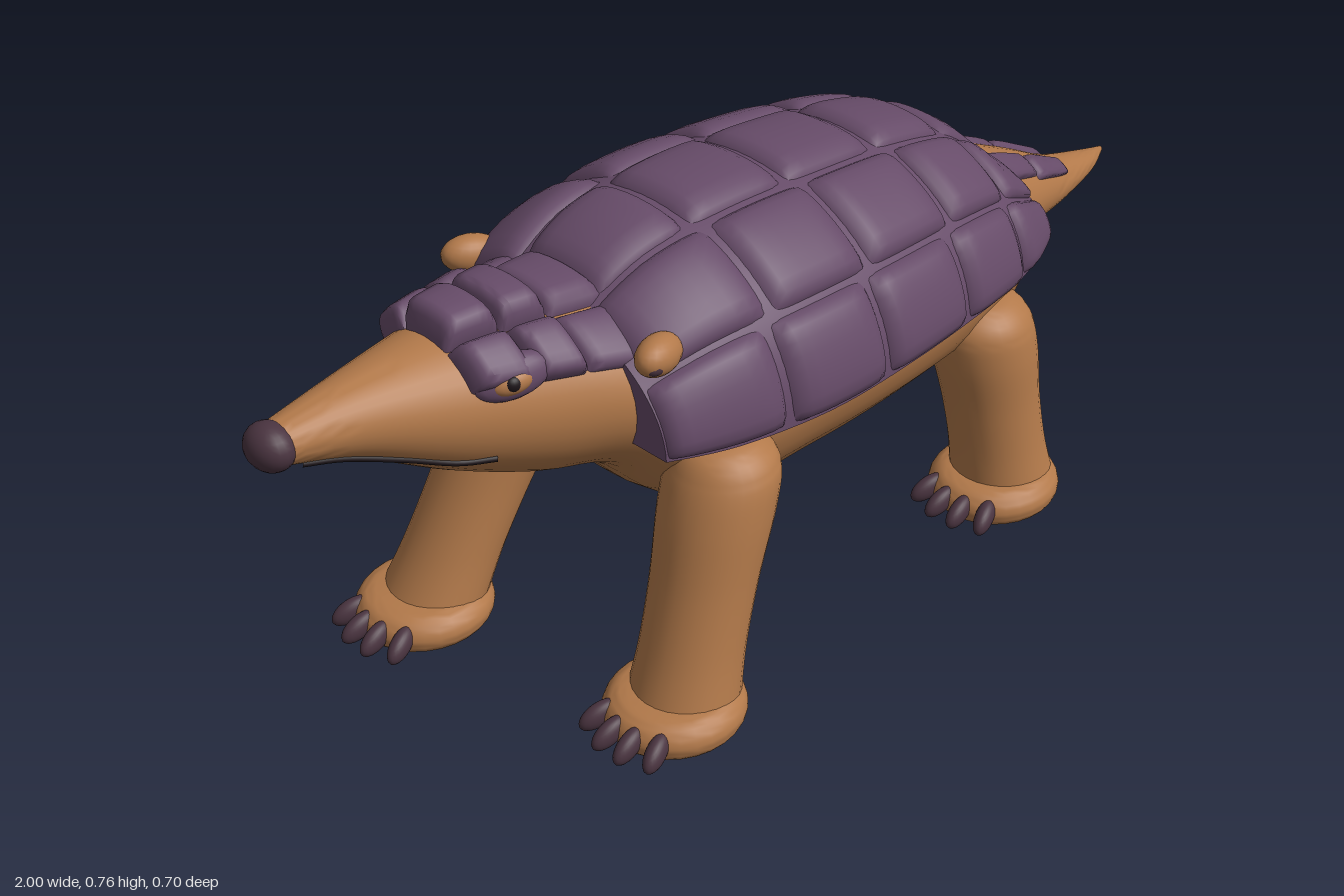
import * as THREE from 'three';
import { toCreasedNormals } from 'three/addons/utils/BufferGeometryUtils.js';

const mat = (name, color) => {
  const m = new THREE.MeshStandardMaterial({ color });
  m.name = name;
  return m;
};

// Catmull-Rom value of a section list at t (t counted in sections)
function at(S, t) {
  const n = S.length - 1, i = Math.min(Math.max(Math.floor(t), 0), n - 1), f = t - i;
  const [p, a, b, q] = [S[Math.max(i - 1, 0)], S[i], S[i + 1], S[Math.min(i + 2, n)]];
  return a.map((_, k) => 0.5 * (2 * a[k] + (b[k] - p[k]) * f + (2 * p[k] - 5 * a[k] + 4 * b[k] - q[k]) * f * f
    + (3 * a[k] - p[k] - 3 * b[k] + q[k]) * f * f * f));
}

// Point on a lofted surface; sections are [along, centre1, centre2, radius1, radius2], offset by o
const surface = (S, axis = 'x') => (t, ang, o = 0) => {
  const [p, c1, c2, r1, r2] = at(S, t);
  const u = c1 + (r1 + o) * Math.cos(ang), v = c2 + (r2 + o) * Math.sin(ang);
  return axis === 'x' ? [p, u, v] : [v, p, u];
};

function build(pos, idx, crease = 0.8) {
  const g = new THREE.BufferGeometry();
  g.setAttribute('position', new THREE.Float32BufferAttribute(pos.flat(), 3));
  g.setIndex(idx);
  return toCreasedNormals(g, crease);
}

// Closed skin through all sections with capped ends
function loft(S, { axis = 'x', sides = 36, steps = 6, a0 = 0, a1 = Math.PI * 2, offset = 0 } = {}) {
  const f = surface(S, axis), rows = (S.length - 1) * steps, pos = [], idx = [];
  const full = a1 - a0 > 6.28;
  for (let j = 0; j <= rows; j++)
    for (let i = 0; i < sides; i++)
      pos.push(f(j / steps, a0 + (a1 - a0) * i / (full ? sides : sides - 1), offset));
  for (let j = 0; j < rows; j++)
    for (let i = 0; i < sides; i++) {
      const a = j * sides + i, b = j * sides + (i + 1) % sides;
      idx.push(a, b, a + sides, b, b + sides, a + sides);
    }
  for (const j of [0, rows]) {
    const c = pos.length, [p, c1, c2] = at(S, j / steps);
    pos.push(axis === 'x' ? [p, c1, c2] : [c2, p, c1]);
    for (let i = 0; i < sides; i++) {
      const a = j * sides + i, b = j * sides + (i + 1) % sides;
      j ? idx.push(a, b, c) : idx.push(b, a, c);
    }
  }
  return build(pos, idx);
}

// Bulging armour plate lying on a surface, its edges sunk to lo and its middle raised to hi
function plate(f, t0, t1, a0, a1, lo, hi) {
  const N = 12, pos = [], idx = [];
  for (let j = 0; j <= N; j++)
    for (let i = 0; i <= N; i++) {
      const s = Math.sin((i / N - 0.5) * Math.PI), r = Math.sin((j / N - 0.5) * Math.PI);
      const o = lo + (hi - lo) * (1 - s ** 8) * (1 - r ** 8);
      pos.push(f(t0 + (t1 - t0) * (r + 1) / 2, a0 + (a1 - a0) * (s + 1) / 2, o));
    }
  for (let j = 0; j < N; j++)
    for (let i = 0; i < N; i++) {
      const a = j * (N + 1) + i, c = a + N + 1;
      idx.push(a, a + 1, c, a + 1, c + 1, c);
    }
  return build(pos, idx, 1);
}

export function createModel() {
  const root = new THREE.Group();
  root.name = 'armouredAnimal';
  const skin = mat('tanSkin', 0xb2794a), armour = mat('purpleArmour', 0x664b68);
  const horn = mat('darkHorn', 0x4a3440), black = mat('black', 0x1c1418);
  const add = (name, geo, m, parent = root) => {
    const mesh = new THREE.Mesh(geo, m);
    mesh.name = name;
    parent.add(mesh);
    return mesh;
  };
  const blob = (name, m, p, r, parent = root) => {
    const mesh = add(name, new THREE.SphereGeometry(1, 20, 14), m, parent);
    mesh.position.set(...p);
    mesh.scale.set(...r);
    return mesh;
  };
  const Z = -0.02;

  // Head and body in one skin
  const bodyS = [
    [-0.965, 0.653, Z, 0.03, 0.034], [-0.85, 0.637, Z, 0.058, 0.06], [-0.7, 0.593, Z, 0.108, 0.11],
    [-0.57, 0.56, Z, 0.138, 0.155], [-0.45, 0.535, Z, 0.152, 0.2], [-0.3, 0.46, Z, 0.215, 0.245],
    [-0.1, 0.45, Z, 0.22, 0.262], [0.1, 0.445, Z, 0.215, 0.262], [0.3, 0.43, Z, 0.195, 0.24],
    [0.42, 0.41, Z, 0.155, 0.205], [0.485, 0.39, Z, 0.11, 0.165]];
  add('headAndBody', loft(bodyS), skin);
  const onBody = surface(bodyS);

  // Tail bending slightly sideways
  const tailS = [
    [0.42, 0.42, Z, 0.115, 0.13], [0.5, 0.42, -0.025, 0.11, 0.12], [0.65, 0.385, -0.035, 0.076, 0.09],
    [0.8, 0.335, -0.055, 0.045, 0.055], [0.93, 0.312, -0.07, 0.022, 0.027], [1.0, 0.308, -0.08, 0.005, 0.005]];
  add('tail', loft(tailS), skin);
  const onTail = surface(tailS);

  // Domed shell: base and five rows of plates
  const shellS = [
    [-0.47, 0.49, Z, 0.195, 0.265], [-0.35, 0.475, Z, 0.27, 0.3], [-0.18, 0.465, Z, 0.293, 0.325],
    [0, 0.462, Z, 0.28, 0.325], [0.2, 0.455, Z, 0.257, 0.305], [0.35, 0.445, Z, 0.22, 0.275],
    [0.45, 0.435, Z, 0.15, 0.23], [0.51, 0.43, Z, 0.1, 0.195]];
  add('shellBase', loft(shellS, { a0: -Math.PI / 2, a1: Math.PI / 2, offset: -0.013 }), armour);
  const onShell = surface(shellS);
  const rows = [-1, -0.6, -0.21, 0.21, 0.6, 1].map(a => a * Math.PI / 2);
  const shell = new THREE.Group();
  shell.name = 'shellPlates';
  root.add(shell);
  for (let r = 0; r < 5; r++) {
    const out = Math.abs(r - 2), d = out === 1 ? 0.12 : 0;
    const cols = [[0.35, 0.15, 0][out], 1.55 + d, 2.72 + d, 3.78 + d, 4.9 + d, 7];
    for (let c = 0; c < 5; c++)
      add('shellPlate', plate(onShell, cols[c], cols[c + 1], rows[r], rows[r + 1], -0.022, 0.004), armour, shell);
  }

  // Crest plates on top of the head
  const crestT = [2.05, 2.75, 3.4, 4.25], crestA = [-1.05, -0.42, 0.42, 1.05];
  for (let r = 0; r < 3; r++)
    for (let c = 0; c < 3; c++)
      add('crestPlate', plate(onBody, crestT[c], crestT[c + 1], crestA[r], crestA[r + 1], -0.005,
        [0.045, 0.042, 0.025][c] - (r === 1 ? 0 : 0.01)), armour);

  // Two plate strips along the tail
  for (const s of [1, -1])
    for (const [t0, t1, a0, a1] of [[0.8, 2.02, 0.3, 0.9], [1.95, 3.05, 0.3, 1.0]])
      add('tailPlate', plate(onTail, t0, t1, s > 0 ? a0 : -a1, s > 0 ? a1 : -a0, -0.005, 0.014), armour);

  // Face: nose, mouth, eyes and ears
  blob('nose', horn, [-0.966, 0.653, Z], [0.034, 0.036, 0.042]);
  for (const s of [1, -1]) {
    const pts = [[0.35, 2.55], [0.8, 2.45], [1.4, 2.3], [1.9, 2.2], [2.25, 2.05]]
      .map(([t, a]) => new THREE.Vector3(...onBody(t, s * a, 0.001)));
    add('mouth', new THREE.TubeGeometry(new THREE.CatmullRomCurve3(pts), 24, 0.005, 8), black);

    const eye = new THREE.Group();
    eye.name = s > 0 ? 'leftEye' : 'rightEye';
    eye.position.set(-0.63, 0.655, Z + s * 0.112);
    eye.rotation.set(-s * 0.35, -s * 0.3, 0);
    root.add(eye);
    blob('eyeSurround', armour, [0, 0, 0], [0.062, 0.033, 0.024], eye);
    blob('eyelid', skin, [-0.006, -0.004, s * 0.011], [0.034, 0.019, 0.018], eye);
    blob('pupil', black, [-0.009, -0.004, s * 0.022], [0.013, 0.012, 0.009], eye);

    blob('ear', skin, [-0.435, 0.64, Z + s * 0.205], [0.05, 0.031, 0.03]).rotation.set(0, s * 0.3, -0.15);
    blob('innerEar', horn, [-0.457, 0.638, Z + s * 0.222], [0.02, 0.014, 0.014]);
  }

  // Legs in a walking pose: [name, top x, top z, foot x, foot z, top y]
  const legs = [
    ['leftFrontLeg', -0.32, 0.195, -0.47, 0.235, 0.45], ['rightFrontLeg', -0.345, -0.215, -0.575, -0.24, 0.45],
    ['leftHindLeg', 0.32, 0.17, 0.325, 0.222, 0.4], ['rightHindLeg', 0.33, -0.195, 0.355, -0.218, 0.4]];
  for (const [name, tx, tz, fx, fz, ty] of legs) {
    const leg = new THREE.Group();
    leg.name = name;
    root.add(leg);
    const lerp = (a, b, k) => a + (b - a) * k;
    const S = [[0, 0.09], [0.2, 0.084], [0.45, 0.085], [0.72, 0.092], [0.88, 0.087], [0.97, 0.058], [1, 0.01]]
      .map(([k, r]) => [lerp(0.045, ty, k), lerp(fz, tz, k), lerp(fx + 0.02, tx, Math.min(k * 1.15, 1)), r, r]);
    add('limb', loft(S, { axis: 'y', sides: 28 }), skin, leg);
    const F = [[0.003, 0.085], [0.012, 0.104], [0.03, 0.112], [0.05, 0.106], [0.064, 0.09], [0.068, 0.07]]
      .map(([y, r]) => [y, fz, fx, r, r * 1.04]);
    add('foot', loft(F, { axis: 'y', sides: 28, steps: 3 }), skin, leg);
    for (let i = 0; i < 4; i++) {
      const w = (i - 1.5) * 0.042;
      const claw = blob('claw', horn, [fx - Math.sqrt(0.0135 - w * w) - 0.004, 0.036, fz + w], [0.036, 0.02, 0.016], leg);
      claw.rotation.set(0, w * 5, 0.4);
    }
  }
  return root;
}
